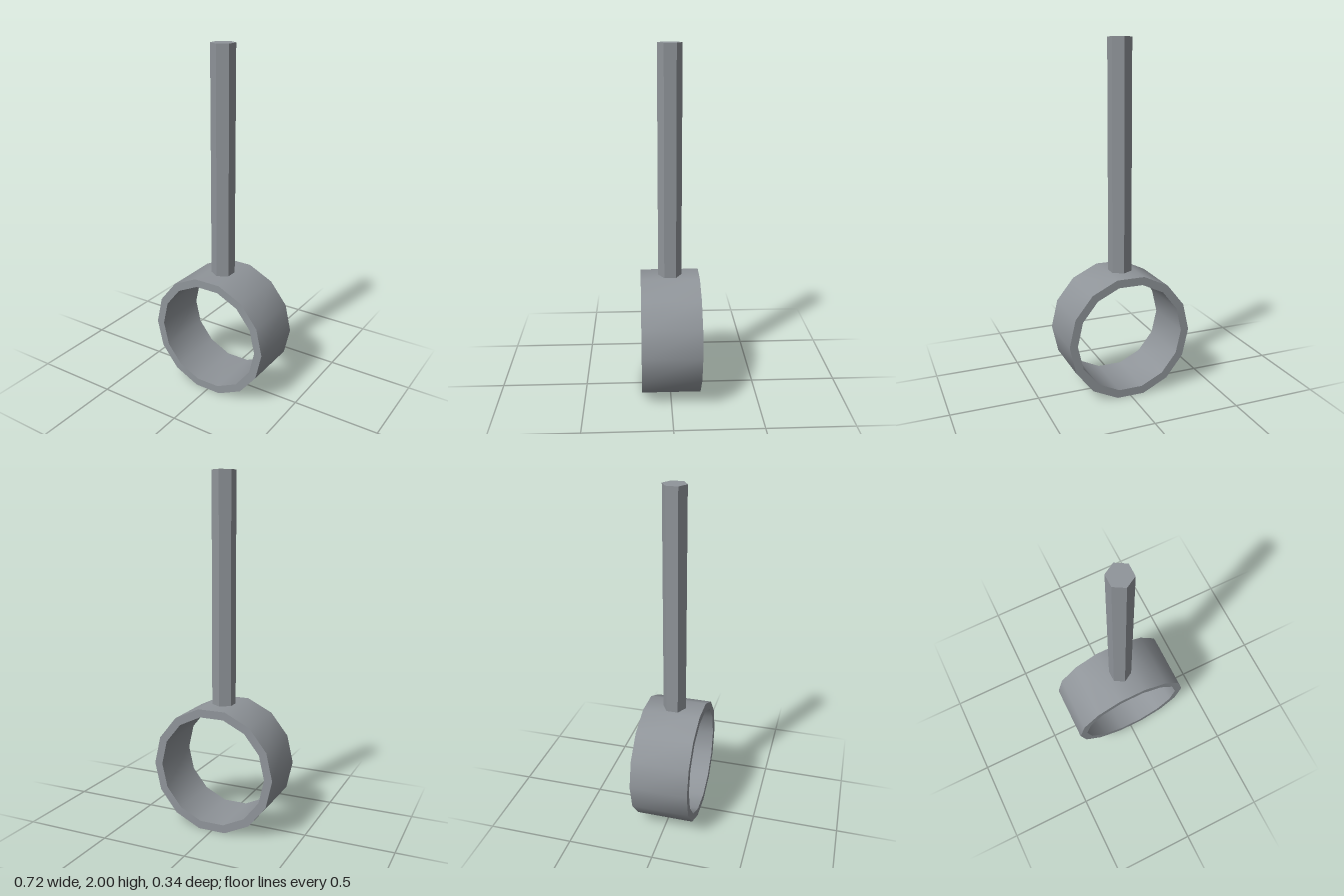
import * as THREE from 'three';
import { toCreasedNormals } from 'three/addons/utils/BufferGeometryUtils.js';

const SIDES = 14;
const OUTER = 0.362;
const INNER = 0.315;
const DEPTH = 0.335;
const CENTRE_Y = OUTER * Math.cos(Math.PI / SIDES); // flat side rests on y = 0

// Corners of a regular polygon with a corner on +x
function polygon(radius) {
  return Array.from({ length: SIDES }, (_, i) => {
    const a = (i / SIDES) * Math.PI * 2;
    return new THREE.Vector2(radius * Math.cos(a), radius * Math.sin(a));
  });
}

export function createModel() {
  const group = new THREE.Group();
  group.name = 'ringOnRod';
  const metal = new THREE.MeshStandardMaterial({ color: 0x90959a });
  metal.name = 'grey metal';

  // Ring band: smooth walls, sharp rims
  const profile = new THREE.Shape(polygon(OUTER));
  profile.holes.push(new THREE.Path(polygon(INNER)));
  const band = new THREE.ExtrudeGeometry(profile, { depth: DEPTH, bevelEnabled: false });
  band.translate(0, CENTRE_Y, -DEPTH / 2);
  const ring = new THREE.Mesh(toCreasedNormals(band, Math.PI / 6), metal);
  ring.name = 'ring';
  group.add(ring);

  // Hexagonal rod, its foot poking slightly through the band
  const bottom = 0.655;
  const top = 2;
  const shaft = new THREE.CylinderGeometry(0.067, 0.067, top - bottom, 6);
  shaft.translate(0, (top + bottom) / 2, 0);
  const rod = new THREE.Mesh(toCreasedNormals(shaft, Math.PI / 6), metal);
  rod.name = 'rod';
  group.add(rod);

  return group;
}
